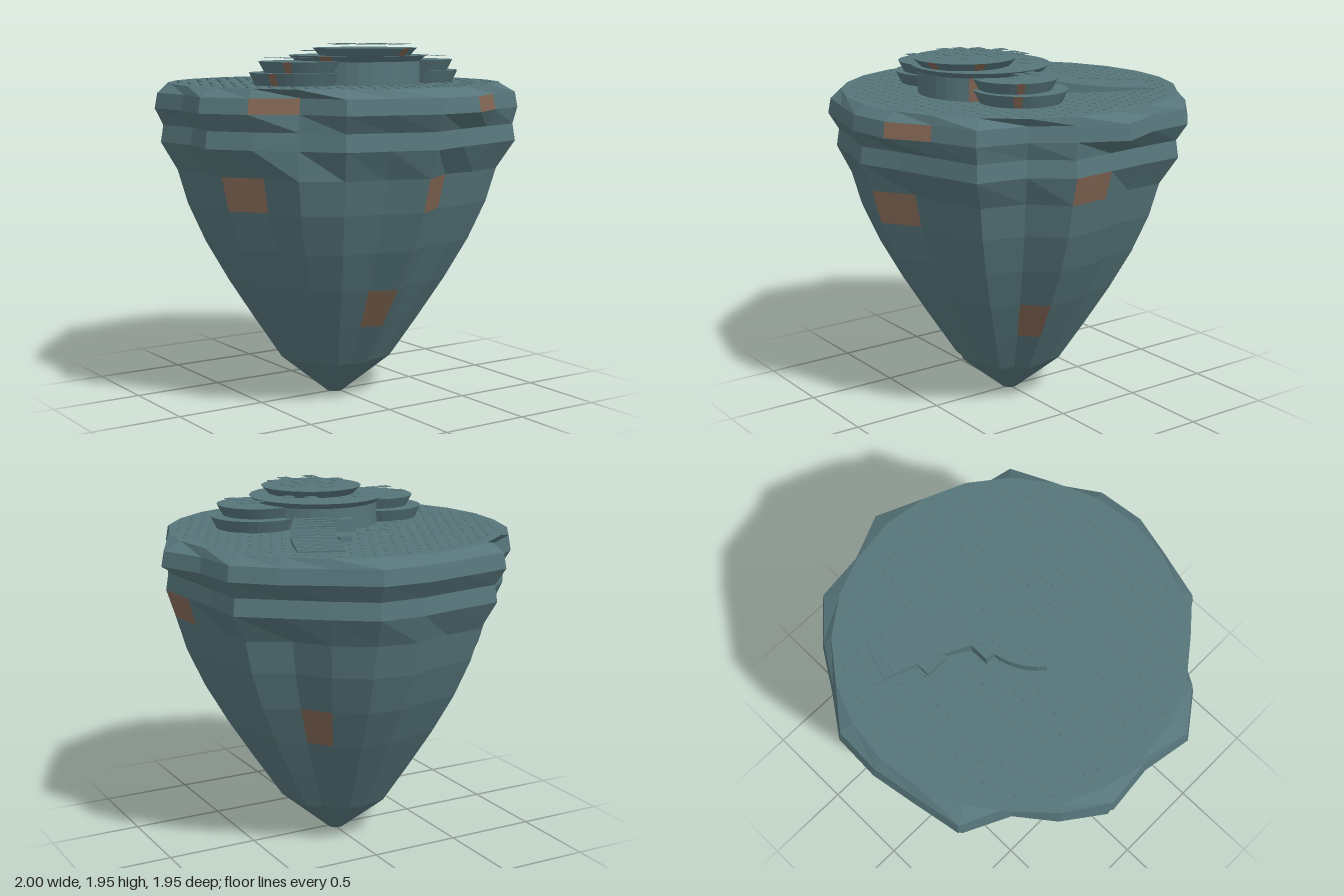
import * as THREE from 'three';
import { mergeGeometries } from 'three/addons/utils/BufferGeometryUtils.js';

const stone = new THREE.MeshStandardMaterial({ color: 0x56757a });
stone.name = 'slate teal';
const rust = new THREE.MeshStandardMaterial({ color: 0x836755 });
rust.name = 'rust brown';

const CX = -0.015, CZ = -0.01, FLOOR = 1.735;

// Flat-faceted loft through rings of [height, radius of column]; cells named 'ring,column' become rust.
function loft(name, rings, n, cx, cz, rustCells = []) {
  const plain = [], patch = [];
  const at = (k, i) => {
    const a = (i % n) * Math.PI * 2 / n, r = rings[k][1](i % n);
    return [cx + Math.cos(a) * r, rings[k][0], cz + Math.sin(a) * r];
  };
  const last = rings.length - 1;
  for (let i = 0; i < n; i++) {
    for (let k = 0; k < last; k++) {
      const l0 = at(k, i), l1 = at(k, i + 1), u0 = at(k + 1, i), u1 = at(k + 1, i + 1);
      (rustCells.includes(k + ',' + i) ? patch : plain).push(...l0, ...u0, ...u1, ...l0, ...u1, ...l1);
    }
    plain.push(cx, rings[0][0], cz, ...at(0, i), ...at(0, i + 1));
    plain.push(cx, rings[last][0], cz, ...at(last, i + 1), ...at(last, i));
  }
  const geo = new THREE.BufferGeometry();
  geo.setAttribute('position', new THREE.Float32BufferAttribute([...plain, ...patch], 3));
  geo.addGroup(0, plain.length / 3, 0);
  geo.addGroup(plain.length / 3, patch.length / 3, 1);
  geo.computeVertexNormals();
  const mesh = new THREE.Mesh(geo, [stone, rust]);
  mesh.name = name;
  return mesh;
}

// Plain flared disc
const disc = (name, x, z, y0, y1, r0, r1, rustCells) =>
  loft(name, [[y0, () => r0], [y1, () => r1]], 32, x, z, rustCells);

// Many thin square plates as one mesh; spots are [x, y, z]
function plates(name, spots, size, turn = 0) {
  const geos = spots.map(([x, y, z]) =>
    new THREE.BoxGeometry(size, 0.002, size).rotateY(turn).translate(x, y, z));
  const mesh = new THREE.Mesh(mergeGeometries(geos), stone);
  mesh.name = name;
  return mesh;
}

function block(name, x, z, w, h, d) {
  const mesh = new THREE.Mesh(new THREE.BoxGeometry(w, h, d), stone);
  mesh.name = name;
  mesh.position.set(x, FLOOR + h / 2, z);
  return mesh;
}

// Uneven radii per column, every 15 degrees from +x towards +z: rim, band below it, hull factors
const RIM = [1.015, 0.93, 0.88, 1, 0.935, 0.985, 0.98, 0.95, 0.98, 0.86, 0.955, 1.02,
  0.94, 1, 0.95, 0.88, 1.015, 0.96, 0.97, 0.995, 0.94, 0.965, 1.01, 0.94];
const BAND = [0.875, 0.93, 0.86, 0.99, 0.9, 0.88, 0.94, 0.9, 0.94, 0.88, 0.91, 0.975,
  0.89, 0.97, 0.91, 0.85, 0.97, 0.91, 0.92, 0.95, 0.9, 0.9, 0.965, 0.88];
const HULL = [0.99, 1.05, 0.94, 1.06, 0.97, 0.91, 1.04, 0.97, 1.03, 1.05, 0.95, 1.03,
  0.96, 1.05, 1, 0.93, 1.05, 0.98, 1.03, 1.03, 0.98, 0.91, 1.03, 0.94];

function buildBody() {
  const hull = [[0.215, 0.295], [0.45, 0.445], [0.67, 0.58], [0.89, 0.7], [1.1, 0.79], [1.28, 0.84]];
  const rings = [
    [0, () => 0.045],
    ...hull.map(([y, r]) => [y, i => r * HULL[i]]),
    [1.43, i => BAND[i]],
    [1.52, i => BAND[i] * 0.985],
    [1.61, i => RIM[i]],
    [1.69, i => RIM[i] * 0.985],
    [FLOOR, () => 0.907],
  ];
  return loft('rockBody', rings, 24, CX, CZ,
    ['2,1', '2,6', '3,20', '5,5', '5,10', '6,0', '9,4', '9,9']);
}

function buildTowers() {
  const g = new THREE.Group();
  g.name = 'towers';
  // main tower
  g.add(disc('mainTowerDrum', 0, 0.19, FLOOR, 1.855, 0.335, 0.335, ['0,3']));
  g.add(disc('mainTowerWideDisc', 0, 0.19, 1.855, 1.885, 0.335, 0.37, ['0,13']));
  g.add(disc('mainTowerTopDisc', CX, 0.28, 1.885, 1.925, 0.24, 0.277, ['0,6', '0,1']));
  // side towers
  for (const s of [-1, 1]) {
    g.add(disc('sideTowerLowerDisc', -0.012 + s * 0.379, 0.195, FLOOR, 1.8, 0.215, 0.245, ['0,3', '0,13']));
    g.add(disc('sideTowerUpperDisc', -0.014 + s * 0.361, 0.215, 1.8, 1.858, 0.19, 0.22, ['0,2', '0,12']));
  }
  return g;
}

function buildRoofPlates() {
  // thin square plates hovering over the discs and by the ramp
  const onTop = [[0, 0.06], [-0.1, 0.14], [-0.02, 0.14], [0.14, 0.14], [-0.16, 0.22], [-0.08, 0.22],
    [0.07, 0.22], [0.16, 0.22], [-0.18, 0.3], [-0.02, 0.3], [0.06, 0.3], [-0.09, 0.38], [0, 0.38],
    [0.16, 0.38], [-0.1, 0.46], [0.06, 0.46]].map(([x, z]) => [x, 1.945, z]);
  const onWide = [[-0.11, -0.1], [-0.03, -0.1], [-0.18, -0.02], [0.14, -0.02], [0.24, 0.06]]
    .map(([x, z]) => [x, 1.905, z]);
  const onSides = [[-0.5, 0.14], [-0.5, 0.3], [-0.42, 0.3], [0.38, 0.14], [0.46, 0.14],
    [0.4, 0.22], [0.46, 0.3]].map(([x, z]) => [x, 1.878, z]);
  const low = [[-0.02, -0.34], [-0.19, -0.26], [-0.11, -0.26], [-0.26, -0.18], [-0.35, -0.1]]
    .map(([x, z]) => [x, FLOOR + 0.012, z]);
  return plates('roofPlates', [...onTop, ...onWide, ...onSides, ...low], 0.063);
}

function buildRamp() {
  // curved stair running from the main tower to the back
  const g = new THREE.Group();
  g.name = 'ramp';
  const path = new THREE.CatmullRomCurve3([
    new THREE.Vector3(0.09, 1.83, -0.02), new THREE.Vector3(0.21, 1.79, -0.19),
    new THREE.Vector3(0.31, 1.762, -0.38), new THREE.Vector3(0.4, 1.742, -0.63)]);
  const steps = 26, length = path.getLength() / steps;
  const treads = [];
  for (let i = 0; i < steps; i++) {
    const p = path.getPointAt((i + 0.5) / steps), t = path.getTangentAt((i + 0.5) / steps);
    const h = p.y - FLOOR + 0.01;
    treads.push(new THREE.BoxGeometry(0.24, h, length * 1.15)
      .rotateY(Math.atan2(t.x, t.z)).translate(p.x, p.y - h / 2, p.z));
  }
  const stair = new THREE.Mesh(mergeGeometries(treads), stone);
  stair.name = 'rampSteps';
  g.add(stair);

  // row of small plates along the ramp
  const spots = [];
  for (let i = 0; i < 13; i++) {
    if (i === 7) continue;
    const f = i / 12;
    spots.push([0.25 + 0.165 * f, 1.79 - 0.025 * f, -0.29 - 0.37 * f]);
  }
  g.add(plates('rampPlates', spots, 0.026, -0.4));

  // blocks where the ramp meets the tower and the deck
  g.add(block('rampHeadBlock', 0.03, -0.1, 0.12, 0.07, 0.2));
  g.add(block('rampSideBlock', 0.165, -0.385, 0.07, 0.03, 0.13));
  return g;
}

// Fine dashes laid in staggered rows over the deck
function buildDeckDashes() {
  const spots = [];
  for (let row = -13; row <= 13; row++) {
    for (let col = -13; col <= 13; col++) {
      const x = (col + (row % 2) * 0.5) * 0.063, z = row * 0.063;
      if (Math.hypot(x, z) < 0.86) spots.push([CX + x, FLOOR + 0.001, CZ + z]);
    }
  }
  return plates('deckDashes', spots, 0.02);
}

export function createModel() {
  const model = new THREE.Group();
  model.name = 'floatingRockCitadel';
  model.add(buildBody(), buildTowers(), buildRoofPlates(), buildRamp(), buildDeckDashes());
  return model;
}
